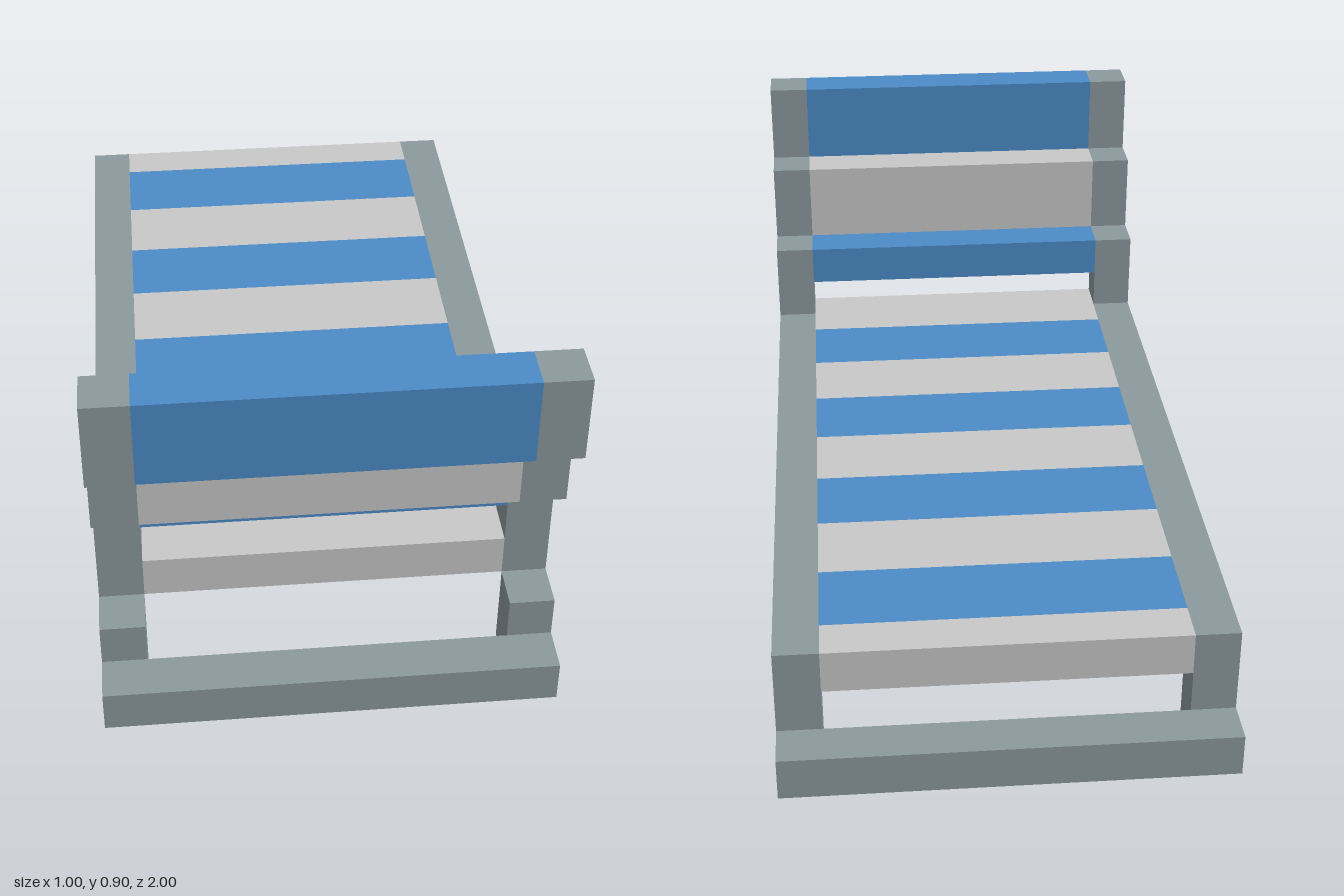
import * as THREE from 'three';

const material = (name, color) => {
  const m = new THREE.MeshStandardMaterial({ color });
  m.name = name;
  return m;
};

export function createModel() {
  const frame = material('grey frame', 0x8c999e);
  const white = material('pale stripe', 0xc9c9c9);
  const blue = material('blue stripe', 0x4d8cc9);
  const lounger = new THREE.Group();
  lounger.name = 'sunLounger';

  // Box given by its limits on each axis
  const box = (name, mat, x0, x1, y0, y1, z0, z1) => {
    const mesh = new THREE.Mesh(new THREE.BoxGeometry(x1 - x0, y1 - y0, z1 - z0), mat);
    mesh.position.set((x0 + x1) / 2, (y0 + y1) / 2, (z0 + z1) / 2);
    mesh.name = name;
    lounger.add(mesh);
  };

  // Side rail with its rear leg and lower back post, drawn in (z, y)
  const profile = new THREE.Shape([
    [-0.9, 0], [-0.8, 0], [-0.8, 0.2], [0.8, 0.2],
    [0.8, 0.5], [0.7, 0.5], [0.7, 0.3], [-0.9, 0.3],
  ].map(([z, y]) => new THREE.Vector2(z, y)));
  const railGeometry = new THREE.ExtrudeGeometry(profile, { depth: 0.1, bevelEnabled: false });
  railGeometry.rotateY(-Math.PI / 2).translate(0.05, 0, 0);

  for (const [side, x] of [['left', 0.45], ['right', -0.45]]) {
    const rail = new THREE.Mesh(railGeometry, frame);
    rail.position.x = x;
    rail.name = `${side}Rail`;
    lounger.add(rail);
    const a = x - 0.05, b = x + 0.05;
    box(`${side}FrontLeg`, frame, a, b, 0, 0.2, 0.8, 0.9);
    box(`${side}MiddleBackPost`, frame, a, b, 0.5, 0.7, 0.8, 0.9);
    box(`${side}UpperBackPost`, frame, a, b, 0.7, 0.9, 0.9, 1);
  }

  // Ground bars
  box('frontFootBar', frame, -0.5, 0.5, 0, 0.1, 0.9, 1);
  box('rearFootBar', frame, -0.5, 0.5, 0, 0.1, -1, -0.9);

  // Striped bed
  const edges = [-0.9, -0.8, -0.6, -0.4, -0.2, 0, 0.2, 0.4, 0.6, 0.8];
  for (let i = 0; i < edges.length - 1; i++) {
    box(`bedStripe${i + 1}`, i % 2 ? blue : white, -0.4, 0.4, 0.2, 0.3, edges[i], edges[i + 1]);
  }

  // Stepped backrest
  box('lowerBackSlat', blue, -0.4, 0.4, 0.4, 0.5, 0.7, 0.8);
  box('middleBackSlat', white, -0.4, 0.4, 0.5, 0.7, 0.8, 0.9);
  box('upperBackSlat', blue, -0.4, 0.4, 0.7, 0.9, 0.9, 1);

  return lounger;
}
